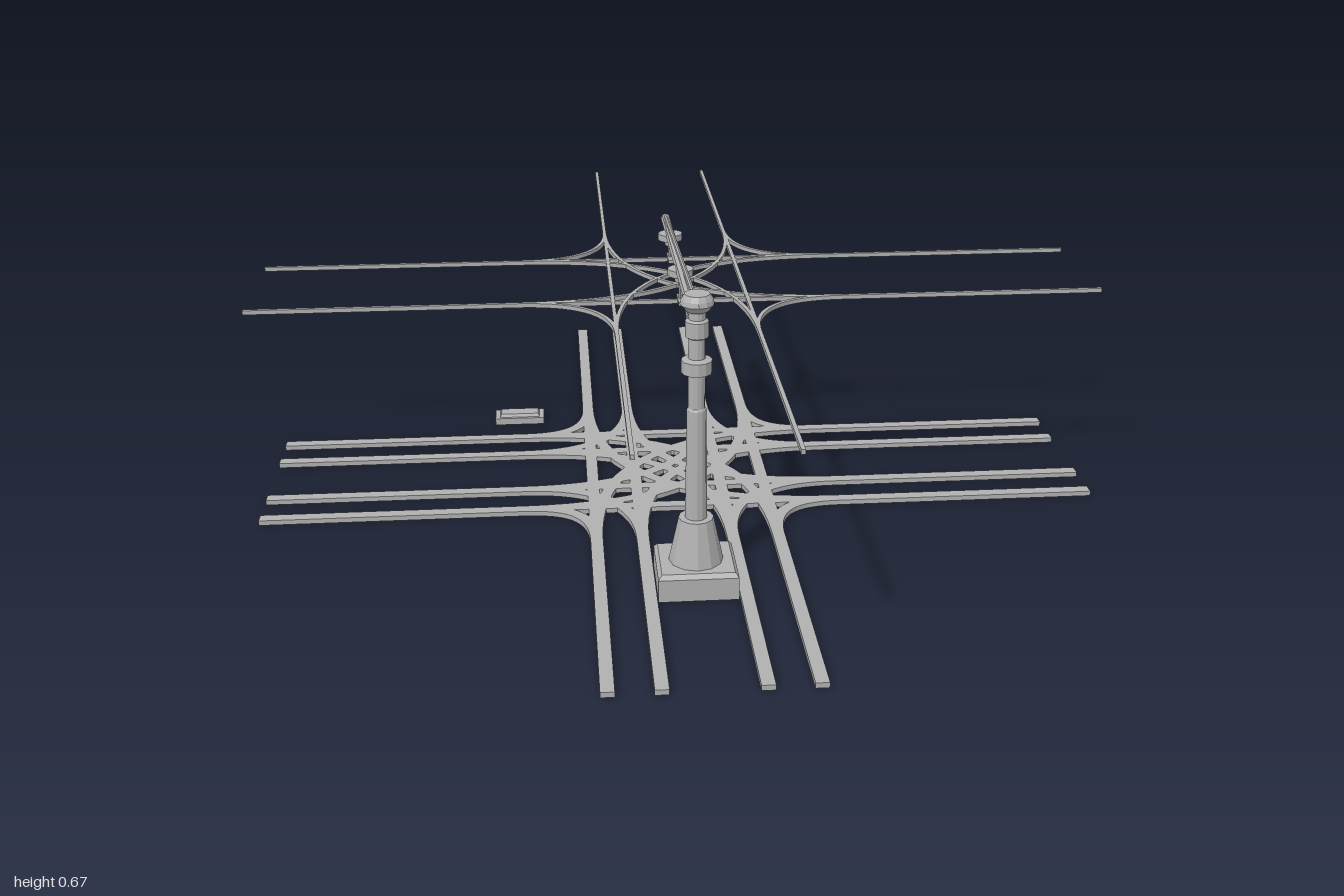
import * as THREE from 'three';

const LANE = 0.157;   // centre of each lane
const GAUGE = 0.053;  // half distance between the rails of a lane
const TURN = 0.38;    // where the turning curves leave the straight lanes

export function createModel() {
  const group = new THREE.Group();
  const grey = new THREE.MeshStandardMaterial({ color: 0xb0b0b0, flatShading: true });
  grey.name = 'grey metal';

  const add = (name, geometry, x = 0, y = 0, z = 0, parent = group) => {
    const mesh = new THREE.Mesh(geometry, grey);
    mesh.name = name;
    mesh.position.set(x, y, z);
    parent.add(mesh);
    return mesh;
  };

  // Rectangular strip swept along a flat path, shifted sideways by offset
  const strip = (curve, steps, offset, width, y0, y1) => {
    const pos = [], idx = [];
    const section = [[-width / 2, y0], [width / 2, y0], [width / 2, y1], [-width / 2, y1]];
    for (let i = 0; i <= steps; i++) {
      const p = curve.getPoint(i / steps), t = curve.getTangent(i / steps);
      for (const [s, y] of section) {
        pos.push(p.x + t.y * (s + offset), y, p.y - t.x * (s + offset));
      }
    }
    for (let i = 0; i < steps; i++) {
      for (let j = 0; j < 4; j++) {
        const a = i * 4 + j, b = i * 4 + (j + 1) % 4;
        idx.push(a, b, b + 4, a, b + 4, a + 4);
      }
    }
    const e = steps * 4;
    idx.push(0, 2, 1, 0, 3, 2, e, e + 1, e + 2, e, e + 2, e + 3);
    const g = new THREE.BufferGeometry();
    g.setAttribute('position', new THREE.Float32BufferAttribute(pos, 3));
    g.setIndex(idx);
    const flat = g.toNonIndexed();
    flat.computeVertexNormals();
    return flat;
  };

  // Lane centre lines: straights both ways, then tight and wide turns at each corner
  const v = (x, z) => new THREE.Vector2(x, z);
  const lanes = [];
  for (const s of [-1, 1]) {
    lanes.push({ curve: new THREE.LineCurve(v(s * LANE, -1), v(s * LANE, 1)), steps: 1 });
    lanes.push({ curve: new THREE.LineCurve(v(-1, s * LANE), v(1, s * LANE)), steps: 1 });
  }
  for (const sx of [-1, 1]) for (const sz of [-1, 1]) for (const side of [-1, 1]) {
    const cx = sx * side * LANE, cz = sz * side * LANE;
    lanes.push({
      curve: new THREE.QuadraticBezierCurve(v(cx, sz * TURN), v(cx, cz), v(sx * TURN, cz)),
      steps: 20,
    });
  }
  const track = new THREE.Group();
  track.name = 'track';
  const wires = new THREE.Group();
  wires.name = 'overheadWires';
  group.add(track, wires);
  for (const { curve, steps } of lanes) {
    for (const s of [-1, 1]) {
      add('rail', strip(curve, steps, s * GAUGE, 0.029, 0, 0.012), 0, 0, 0, track);
    }
    add('wire', strip(curve, steps, 0, 0.009, 0.504, 0.514), 0, 0, 0, wires);
  }

  // Box whose top is narrower than its bottom
  const taperedBox = (w, h, d, inset) => {
    const g = new THREE.BoxGeometry(w, h, d);
    const p = g.attributes.position;
    for (let i = 0; i < p.count; i++) {
      if (p.getY(i) > 0) {
        p.setX(i, p.getX(i) - Math.sign(p.getX(i)) * inset);
        p.setZ(i, p.getZ(i) - Math.sign(p.getZ(i)) * inset);
      }
    }
    g.computeVertexNormals();
    return g;
  };

  // Mast on its square footing
  const mast = new THREE.Group();
  mast.name = 'mast';
  mast.position.set(0, 0, 0.572);
  group.add(mast);
  add('footing', new THREE.BoxGeometry(0.174, 0.052, 0.158), 0, 0.026, 0, mast);
  add('footingTop', taperedBox(0.174, 0.01, 0.158, 0.008), 0, 0.057, 0, mast);
  const turned = (name, pts) => add(name,
    new THREE.LatheGeometry(pts.map(([r, y]) => new THREE.Vector2(r, y)), 12), 0, 0, 0, mast);
  turned('pedestal', [[0, 0.06], [0.06, 0.06], [0.038, 0.163], [0, 0.165]]);
  turned('shaft', [[0.024, 0.16], [0.021, 0.415], [0.018, 0.42], [0.018, 0.645]]);
  turned('collar', [[0.018, 0.495], [0.033, 0.499], [0.033, 0.527], [0.018, 0.531]]);
  turned('armClamp', [[0.018, 0.575], [0.025, 0.579], [0.025, 0.613], [0.018, 0.617]]);
  turned('cap', [[0, 0.634], [0.024, 0.635], [0.036, 0.65], [0.034, 0.66], [0.027, 0.672], [0, 0.672]]);

  // Round bar between two points in the plane of the arm
  const bar = (name, [z0, y0], [z1, y1], r) => {
    const m = add(name, new THREE.CylinderGeometry(r, r, Math.hypot(z1 - z0, y1 - y0), 8),
      0, (y0 + y1) / 2, (z0 + z1) / 2);
    m.rotation.x = Math.atan2(z1 - z0, y1 - y0);
  };
  bar('armBeam', [0.56, 0.6], [-0.322, 0.568], 0.012);
  bar('tieRod', [0.57, 0.647], [-0.32, 0.574], 0.006);

  // Curved brace under the arm
  const brace = new THREE.QuadraticBezierCurve3(
    new THREE.Vector3(0, 0.515, 0.56), new THREE.Vector3(0, 0.578, 0.35), new THREE.Vector3(0, 0.585, 0.25));
  add('armBrace', new THREE.TubeGeometry(brace, 8, 0.008, 8));

  // Wire hangers below the arm
  for (const z of [-LANE, LANE]) {
    const y = 0.575 + z * 0.036;
    add('hangerClamp', new THREE.CylinderGeometry(0.03, 0.03, 0.016, 12), 0, y, z);
    add('hangerNeck', new THREE.CylinderGeometry(0.016, 0.013, 0.018, 12), 0, y - 0.014, z);
    add('hangerRod', new THREE.CylinderGeometry(0.005, 0.005, y - 0.515, 8), 0, (y + 0.513) / 2, z);
    add('hangerFoot', new THREE.BoxGeometry(0.014, 0.009, 0.064), 0, 0.512, z);
  }

  // Low switch box beside the track
  add('switchBox', new THREE.BoxGeometry(0.13, 0.018, 0.06), -0.395, 0.009, -0.345);
  add('switchBoxLid', taperedBox(0.106, 0.008, 0.044, 0.004), -0.395, 0.022, -0.345);

  return group;
}
